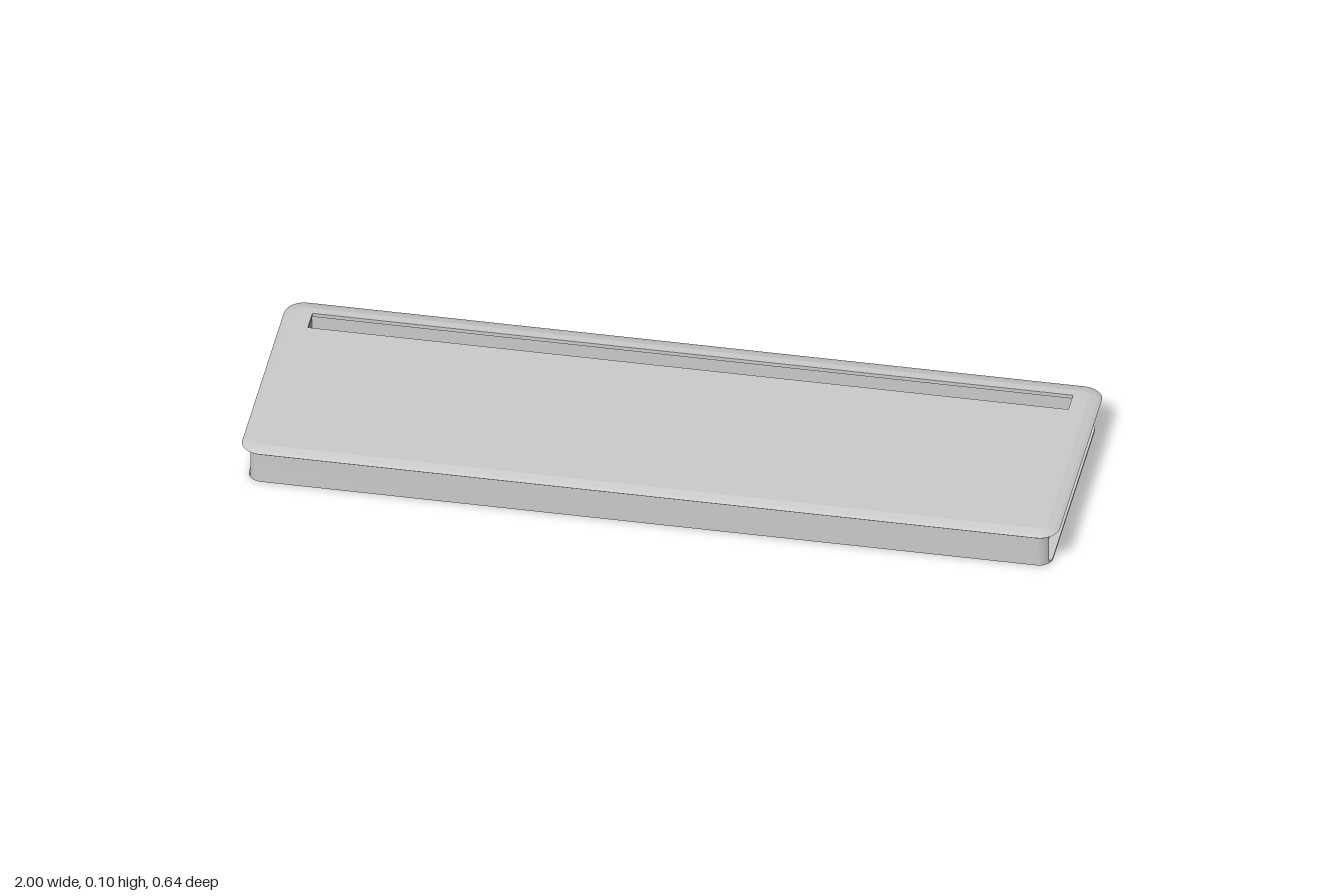
import * as THREE from 'three';
import { toCreasedNormals } from 'three/addons/utils/BufferGeometryUtils.js';

const material = new THREE.MeshStandardMaterial({ color: 0xcccccc, side: THREE.DoubleSide });

// Outline of a rounded rectangle, as points in plan (x, z)
function roundedRect(hx, hz, r) {
  const pts = [];
  [[1, 1], [-1, 1], [-1, -1], [1, -1]].forEach(([sx, sz], k) => {
    for (let i = 0; i <= 8; i++) {
      const a = (k + i / 8) * Math.PI / 2;
      pts.push(new THREE.Vector2(sx * (hx - r) + r * Math.cos(a), sz * (hz - r) + r * Math.sin(a)));
    }
  });
  return pts;
}

function rectHole(x0, x1, z0, z1) {
  return new THREE.Path([[x0, z0], [x0, z1], [x1, z1], [x1, z0]].map(p => new THREE.Vector2(...p)));
}

// Horizontal slab from a plan outline, with an optional hole
function slab(points, y0, y1, hole) {
  const shape = new THREE.Shape(points);
  if (hole) shape.holes.push(hole);
  const geo = new THREE.ExtrudeGeometry(shape, { depth: y1 - y0, bevelEnabled: false });
  return toCreasedNormals(geo.rotateX(Math.PI / 2).translate(0, y1, 0), 0.6);
}

// Thin sloping rim around the top plate, lofted through rounded rectangles
function rimGeometry() {
  const levels = [[0.03, 0.09], [0.002, 0.09], [0, 0.092], [0.002, 0.094], [0.015, 0.0965], [0.03, 0.1]];
  const pos = [], index = [];
  const n = 36;
  levels.forEach(([inset, y], j) => {
    roundedRect(1 - inset, 0.322 - inset, 0.05 - inset).forEach((p, i) => {
      pos.push(p.x, y, p.y);
      if (j === levels.length - 1) return;
      const a = j * n + i, c = j * n + (i + 1) % n;
      index.push(a, a + n, c, c, a + n, c + n);
    });
  });
  const geo = new THREE.BufferGeometry();
  geo.setAttribute('position', new THREE.Float32BufferAttribute(pos, 3));
  geo.setIndex(index);
  return toCreasedNormals(geo, 0.6);
}

export function createModel() {
  const model = new THREE.Group();
  const add = (name, geo) => {
    const mesh = new THREE.Mesh(geo, material);
    mesh.name = name;
    model.add(mesh);
    return mesh;
  };

  // Top plate with its long slot near the back
  add('topPlate', slab(roundedRect(0.97, 0.292, 0.02), 0.09, 0.1, rectHole(-0.93, 0.93, -0.27, -0.21)));
  add('topRim', rimGeometry());

  // Bottom flange (wider at the back) and the matching upper flange
  const plan = roundedRect(0.983, 0.305, 0.035);
  add('bottomFlange', slab(plan, 0, 0.005, rectHole(-0.935, 0.935, -0.19, 0.275)));
  add('upperFlange', slab(plan, 0.085, 0.09, rectHole(-0.935, 0.935, -0.285, 0.285)));

  // Long walls: the strips of the rounded outline beyond the end openings
  const cut = 0.29;
  const xCut = 0.948 + Math.sqrt(0.035 ** 2 - 0.02 ** 2);
  for (const s of [1, -1]) {
    const strip = plan.filter(p => p.y * s > cut);
    strip.push(new THREE.Vector2(-s * xCut, s * cut));
    strip.push(new THREE.Vector2(s * xCut, s * cut));
    add(s > 0 ? 'frontWall' : 'backWall', slab(strip, 0.005, 0.085));
  }

  // Recessed end walls with a round bore, and ribs above and below the hub
  const boreY = 0.045;
  for (const s of [1, -1]) {
    const shape = new THREE.Shape([[-0.292, 0.004], [0.292, 0.004], [0.292, 0.086], [-0.292, 0.086]]
      .map(p => new THREE.Vector2(...p)));
    shape.holes.push(new THREE.Path().absarc(0, boreY, 0.02, 0, Math.PI * 2, true));
    const wall = new THREE.ExtrudeGeometry(shape, { depth: 0.01, bevelEnabled: false, curveSegments: 24 });
    add('endWall', wall.rotateY(Math.PI / 2).translate(s * 0.94 - 0.005, 0, 0));
    for (const [y0, y1] of [[0.004, boreY - 0.025], [boreY + 0.025, 0.086]]) {
      const rib = new THREE.BoxGeometry(0.025, y1 - y0, 0.003);
      add('endRib', rib.translate(s * 0.955, (y0 + y1) / 2, 0));
    }
  }

  // Central hollow tube with countersunk ends
  const L = 0.968;
  const profile = [[0.013, -L + 0.006], [0.018, -L], [0.027, -L], [0.027, L], [0.018, L],
    [0.013, L - 0.006], [0.013, -L + 0.006]].map(p => new THREE.Vector2(...p));
  const tube = toCreasedNormals(new THREE.LatheGeometry(profile, 32), 0.6);
  add('centreTube', tube.rotateZ(Math.PI / 2).translate(0, boreY, 0));

  // Solid roller along the front, tucked against the top plate
  const roller = new THREE.CylinderGeometry(0.033, 0.033, 1.93, 40);
  add('frontRoller', roller.rotateZ(Math.PI / 2).translate(0, 0.058, 0.235));

  return model;
}
